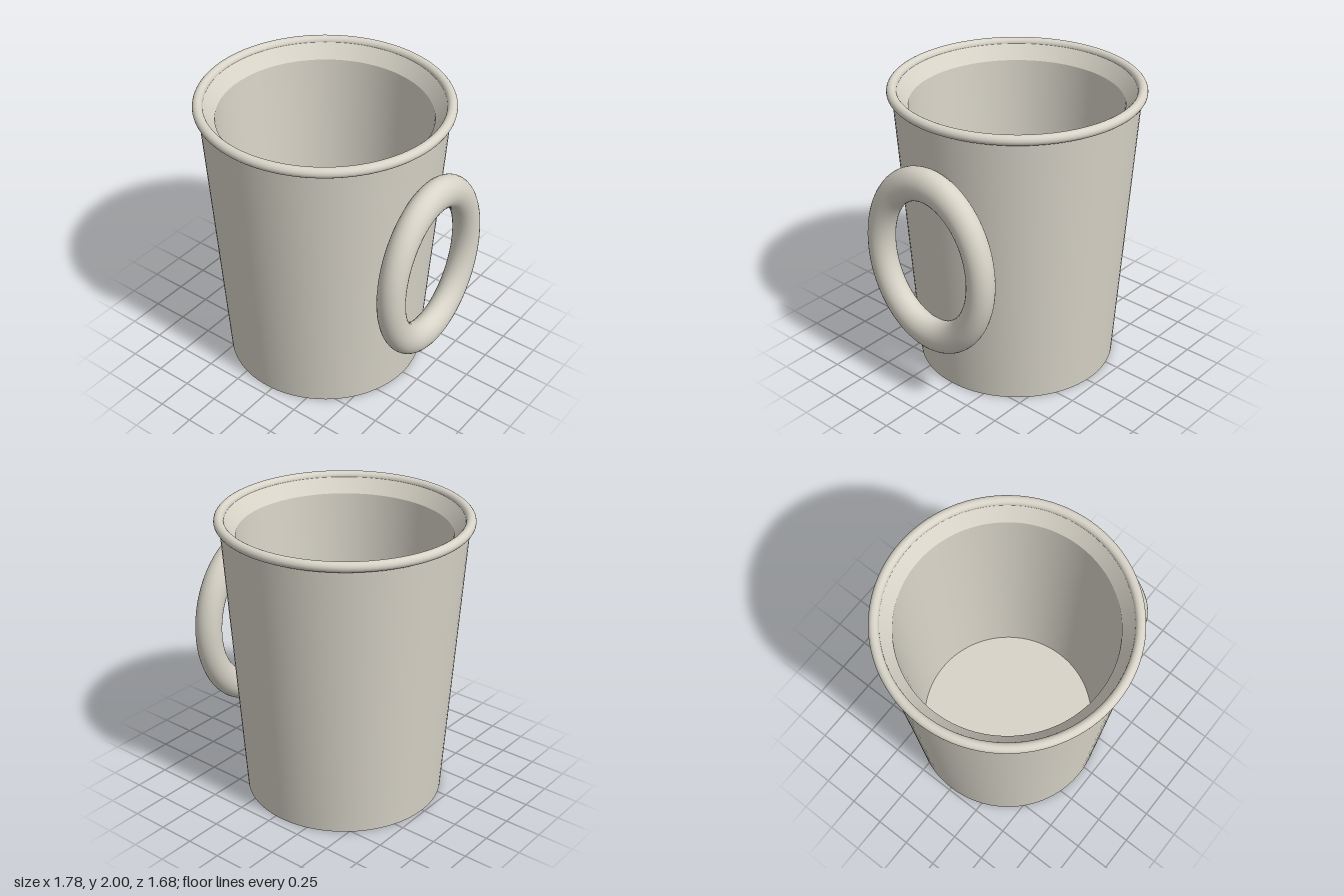
import * as THREE from 'three';
import { toCreasedNormals } from 'three/addons/utils/BufferGeometryUtils.js';

export function createModel() {
  const model = new THREE.Group();
  model.name = 'mug';
  const ceramic = new THREE.MeshStandardMaterial({ name: 'warm white ceramic', color: 0xd8d4c8 });

  const add = (name, geometry, parent) => {
    const mesh = new THREE.Mesh(geometry, ceramic);
    mesh.name = name;
    parent.add(mesh);
    return mesh;
  };

  // Cup, set slightly to one side to balance the handle
  const cup = new THREE.Group();
  cup.name = 'cup';
  cup.position.x = -0.05;
  model.add(cup);

  // Tapered wall, chamfered lip inside, inner wall and floor
  const profile = [
    [0, 0], [0.68, 0], [0.807, 1.967], [0.775, 1.967],
    [0.703, 1.87], [0.62, 0.1], [0, 0.1],
  ].map(([r, y]) => new THREE.Vector2(r, y));
  add('body', toCreasedNormals(new THREE.LatheGeometry(profile, 96), 0.5), cup);

  // Rounded rim
  const rim = add('rim', new THREE.TorusGeometry(0.807, 0.033, 20, 96), cup);
  rim.rotation.x = Math.PI / 2;
  rim.position.y = 1.967;

  // Oval ring handle on the left side
  const ring = new THREE.TorusGeometry(0.435, 0.092, 28, 80);
  ring.rotateY(Math.PI / 2);
  ring.scale(1, 1.245, 1);
  add('handle', ring, model).position.set(0.798, 1.037, 0);

  return model;
}
